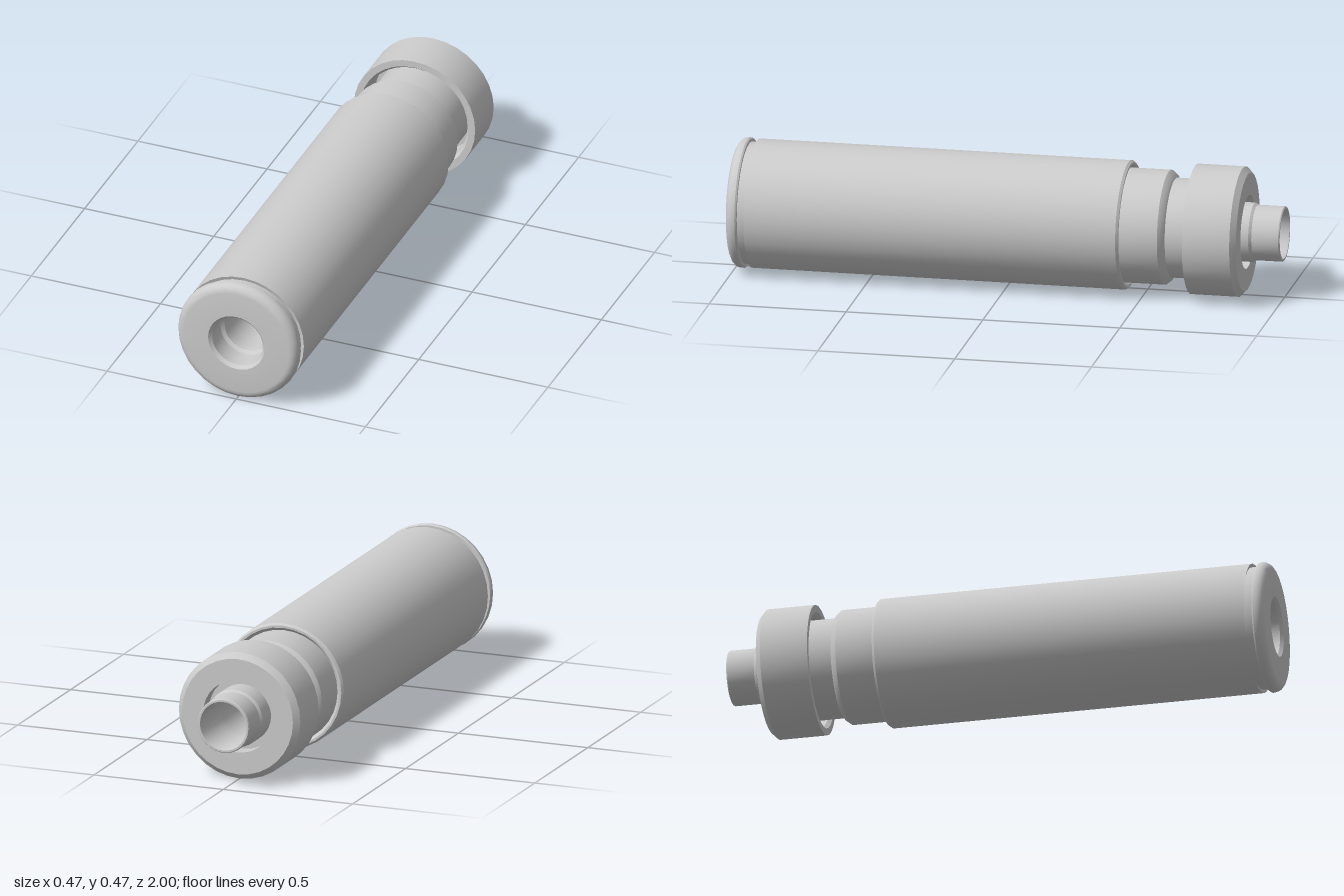
import * as THREE from 'three';
import { toCreasedNormals } from 'three/addons/utils/BufferGeometryUtils.js';

const AXIS_Y = 0.235;
const BORE = 0.087;
const SIDES = 32;

// Closed ring turned around z. Points are [radius, z]: outside from back to front, then inside back again.
function turned(name, points, material) {
  const profile = [...points, points[0]].map(([r, z]) => new THREE.Vector2(r, z));
  const geometry = new THREE.LatheGeometry(profile, SIDES).rotateX(Math.PI / 2);
  const mesh = new THREE.Mesh(toCreasedNormals(geometry, 0.5), material);
  mesh.name = name;
  mesh.position.y = AXIS_Y;
  return mesh;
}

// Quarter-round edge, from the side wall to the front face
function rounded(radius, z, size, steps = 5) {
  return Array.from({ length: steps + 1 }, (_, i) => {
    const a = (i / steps) * Math.PI / 2;
    return [radius - size + size * Math.cos(a), z - size + size * Math.sin(a)];
  });
}

export function createModel() {
  const group = new THREE.Group();
  const grey = new THREE.MeshStandardMaterial({ color: 0xcccccc });

  // Front cap with rounded rim, rear groove and stepped entry hole
  group.add(turned('frontCap', [
    [0.22, 0.92], [0.22, 0.957], [0.231, 0.957], [0.235, 0.963],
    ...rounded(0.235, 1, 0.032),
    [0.109, 1], [0.098, 0.988], [0.098, 0.91], [BORE, 0.898], [BORE, 0.88], [0.2, 0.88], [0.2, 0.92],
  ], grey));

  // Long main barrel
  group.add(turned('barrel', [
    [0.218, -0.437], [0.226, -0.437], [0.233, -0.428], [0.233, 0.93], [BORE, 0.93 - 0.05], [BORE, -0.42], [0.2, -0.42],
  ], grey));

  // Stepped sleeve and narrower neck leading into the collar
  group.add(turned('neck', [
    [BORE, -0.8], [0.18, -0.8], [0.18, -0.598], [0.193, -0.592], [0.207, -0.575],
    [0.207, -0.42], [BORE, -0.42],
  ], grey));

  // Collar, hollow at the front and recessed at the back
  group.add(turned('collar', [
    [0.133, -0.865], [0.214, -0.865], [0.235, -0.845], [0.235, -0.672], [0.21, -0.672],
    [0.2, -0.685], [0.2, -0.79], [BORE, -0.79], [BORE, -0.81], [0.133, -0.81],
  ], grey));

  // Thin rear tube with a flange
  group.add(turned('rearTube', [
    [0.09, -1], [0.097, -1], [0.1, -0.996], [0.1, -0.898], [0.107, -0.888],
    [0.107, -0.8], [BORE, -0.8], [BORE, -0.99],
  ], grey));

  return group;
}
